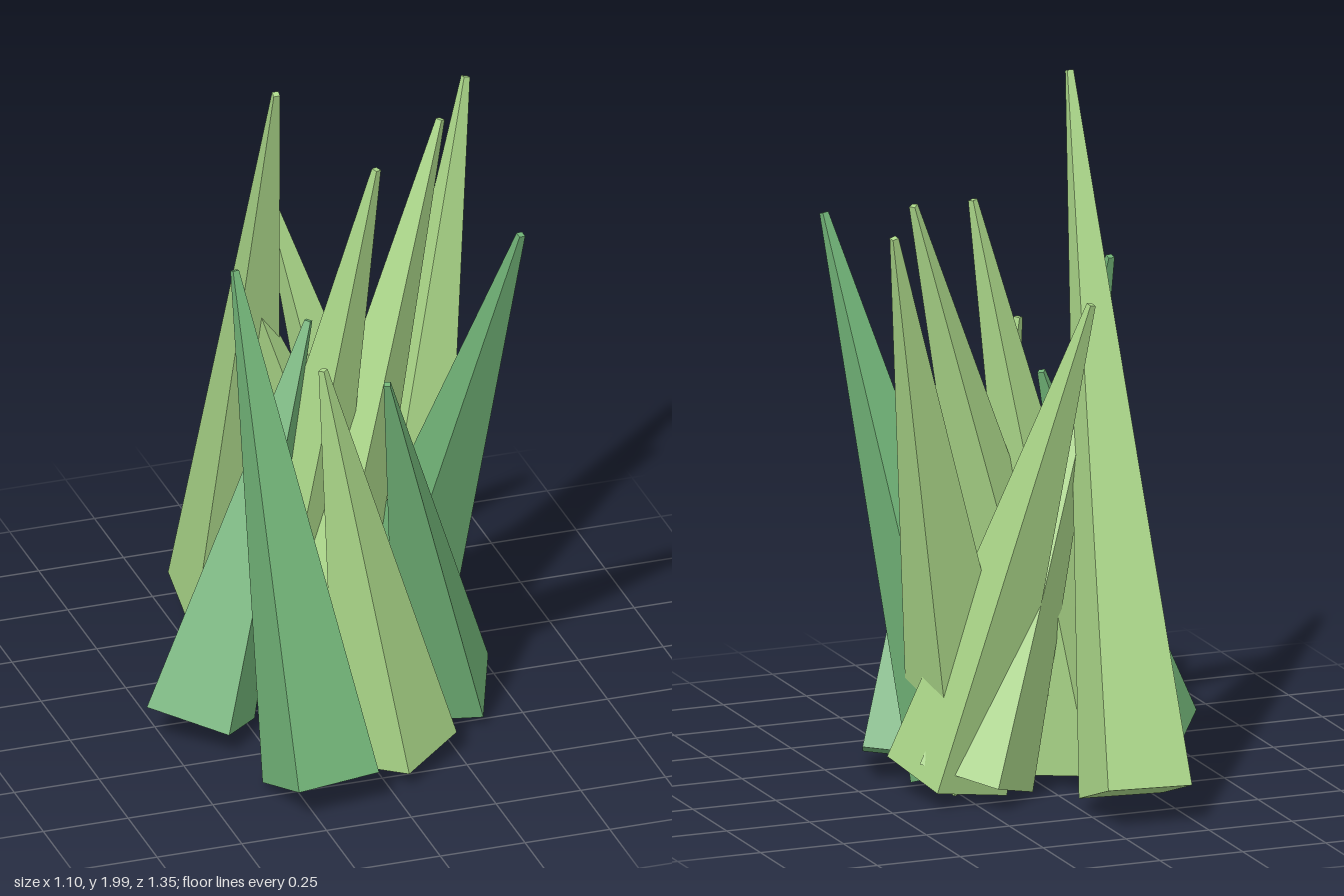
import * as THREE from 'three';

const BASE_RADIUS = 0.176; // half diagonal of the square foot
const TIP_RADIUS = 0.013;

// Four-sided tapered blade from foot centre to tip; corner is one foot corner in plan (x, z)
function makeBlade(foot, tip, corner, material) {
  const a = new THREE.Vector3(...foot);
  const b = new THREE.Vector3(...tip);
  const axis = b.clone().sub(a);
  const length = axis.length();
  axis.normalize();

  // The foot is square to the axis, so the corner's height follows from the tilt
  const ox = corner[0] - a.x;
  const oz = corner[1] - a.z;
  const out = new THREE.Vector3(ox, -(ox * axis.x + oz * axis.z) / axis.y, oz).normalize();
  const side = new THREE.Vector3().crossVectors(axis, out);

  const geometry = new THREE.CylinderGeometry(TIP_RADIUS, BASE_RADIUS, length, 4, 1);
  geometry.applyMatrix4(new THREE.Matrix4().makeBasis(side, axis, out));
  const mid = a.add(b).multiplyScalar(0.5);
  geometry.translate(mid.x, mid.y, mid.z);
  return new THREE.Mesh(geometry, material);
}

export function createModel() {
  const group = new THREE.Group();
  group.name = 'grassClump';

  const light = new THREE.MeshStandardMaterial({ color: 0xaad688, flatShading: true });
  light.name = 'light grass green';
  const deep = new THREE.MeshStandardMaterial({ color: 0x70b276, flatShading: true });
  deep.name = 'deep grass green';

  // name, foot centre, tip, foot corner (x, z), colour
  const blades = [
    ['tallBackBlade', [-0.11, 0.08, -0.55], [-0.18, 1.995, 0.11], [0.02, -0.665], light],
    ['centreBlade', [-0.14, 0.05, -0.10], [0.14, 1.67, 0.04], [-0.31, -0.15], light],
    ['leaningCentreBlade', [-0.09, 0.06, 0.025], [0.38, 1.715, -0.11], [-0.105, 0.2], light],
    ['backLeftBlade', [0.18, 0.06, -0.03], [0.54, 1.70, -0.36], [0.32, 0.075], light],
    ['crossingBackBlade', [0.285, 0.06, -0.125], [-0.05, 1.45, -0.37], [0.43, -0.04], light],
    ['shortBackBlade', [0.225, 0.065, -0.195], [-0.17, 1.25, -0.13], [0.23, -0.37], light],
    ['shortFrontBlade', [0.075, 0.04, 0.40], [-0.12, 1.23, 0.34], [0.25, 0.42], light],
    ['frontRightBlade', [-0.195, 0.06, 0.54], [-0.295, 1.45, 0.09], [-0.06, 0.64], deep],
    ['rightBlade', [-0.385, 0.06, 0.06], [-0.03, 1.18, -0.05], [-0.55, 0.08], deep],
    ['frontLeftBlade', [0.30, 0.06, 0.135], [0.04, 1.2, 0.425], [0.46, 0.075], deep],
    ['leftBlade', [0.205, 0.07, -0.10], [0.45, 1.58, 0.38], [0.365, 0.0], deep],
  ];

  for (const [name, foot, tip, corner, material] of blades) {
    const blade = makeBlade(foot, tip, corner, material);
    blade.name = name;
    group.add(blade);
  }
  return group;
}
